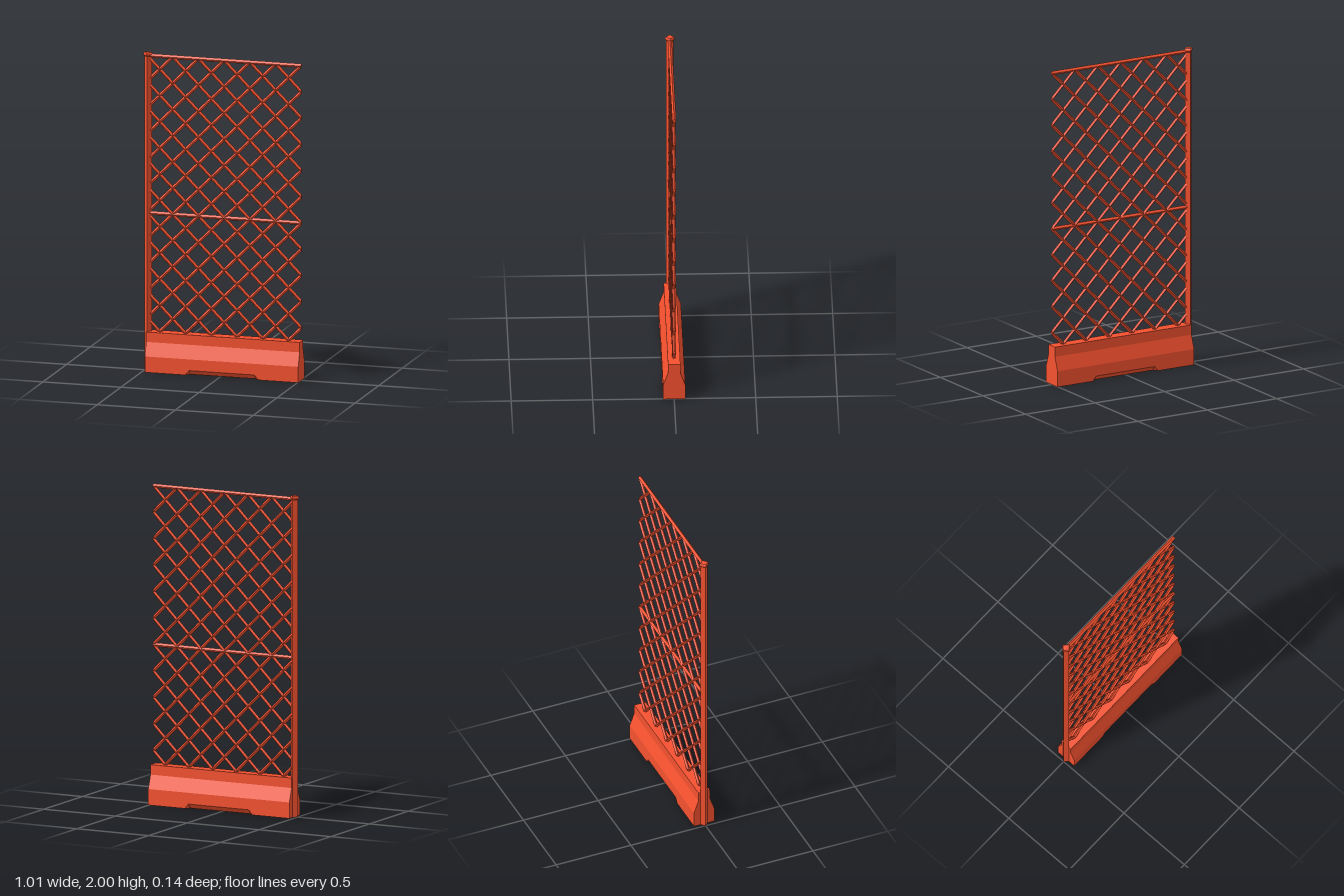
import * as THREE from 'three';

const LEFT = -0.478, RIGHT = 0.505; // ends of the panel
const STEP = 0.165;                 // lattice spacing
const BASE_TOP = 0.247, RAIL_TOP = 1.98;

const material = new THREE.MeshStandardMaterial({ color: 0xf5512f, flatShading: true });

function add(parent, name, geometry, x = 0, y = 0, z = 0) {
  const mesh = new THREE.Mesh(geometry, material);
  mesh.name = name;
  mesh.position.set(x, y, z);
  parent.add(mesh);
  return mesh;
}

// Diamond-section bar lying along x
function barGeometry(length, radius) {
  return new THREE.CylinderGeometry(radius, radius, length, 4).rotateZ(Math.PI / 2);
}

// Barrier base: cross-sections along x, lower edges cut away by "cut" in the middle
function baseGeometry() {
  const section = (x, cut) => {
    const half = [[0.068 - 0.028 * cut, 0], [0.068, 0.03 * cut], [0.068, 0.1], [0.038, 0.185], [0.038, BASE_TOP]];
    const back = half.map(([z, y]) => [x, y, -z]);
    const front = half.map(([z, y]) => [x, y, z]).reverse();
    return [...back, ...front];
  };
  const sections = [[LEFT, 0], [-0.22, 0], [-0.195, 1], [0.225, 1], [0.25, 0], [RIGHT, 0]]
    .map(([x, cut]) => section(x, cut));
  const n = sections[0].length;
  const positions = [];
  const tri = (...corners) => corners.forEach(c => positions.push(...c));
  for (let s = 0; s < sections.length - 1; s++) {
    const a = sections[s], b = sections[s + 1];
    for (let i = 0; i < n; i++) {
      const j = (i + 1) % n;
      tri(a[i], a[j], b[j]);
      tri(a[i], b[j], b[i]);
    }
  }
  // End caps
  const first = sections[0], last = sections[sections.length - 1];
  for (let i = 0; i < n; i++) {
    const j = (i + 1) % n;
    tri([LEFT, 0.05, 0], first[j], first[i]);
    tri([RIGHT, 0.05, 0], last[i], last[j]);
  }
  const geometry = new THREE.BufferGeometry();
  geometry.setAttribute('position', new THREE.Float32BufferAttribute(positions, 3));
  geometry.computeVertexNormals();
  return geometry;
}

// Diagonal bars at 45 degrees, sheared so that their ends stay upright
function buildLattice() {
  const lattice = new THREE.Group();
  lattice.name = 'lattice';
  const low = BASE_TOP - 0.02, high = RAIL_TOP - 0.004;
  for (const slope of [1, -1]) {
    for (let k = -6; k <= 18; k++) {
      // Line y = slope * (x - RIGHT) + k * STEP, trimmed to the panel
      const xAt = y => RIGHT + (y - k * STEP) / slope;
      const x0 = Math.max(LEFT, Math.min(xAt(low), xAt(high)));
      const x1 = Math.min(RIGHT, Math.max(xAt(low), xAt(high)));
      if (x1 - x0 < 0.03) continue;
      const shear = new THREE.Matrix4().set(
        1, 0, 0, 0,
        slope, Math.SQRT2, 0, 0,
        0, 0, 1, 0,
        0, 0, 0, 1);
      const x = (x0 + x1) / 2;
      add(lattice, slope > 0 ? 'risingBar' : 'fallingBar',
        barGeometry(x1 - x0, 0.0105).applyMatrix4(shear), x, slope * (x - RIGHT) + k * STEP);
    }
  }
  return lattice;
}

export function createModel() {
  const model = new THREE.Group();
  model.name = 'latticeFence';

  add(model, 'base', baseGeometry());

  // Corner post with a bevelled cap
  add(model, 'post', new THREE.CylinderGeometry(0.024, 0.024, 1.985, 4), LEFT, 1.985 / 2, 0);
  const capProfile = [[0, 1.976], [0.024, 1.976], [0.03, 1.982], [0.03, 1.993], [0.025, 2], [0, 2]]
    .map(([r, y]) => new THREE.Vector2(r, y));
  add(model, 'postCap', new THREE.LatheGeometry(capProfile, 4), LEFT, 0, 0);

  // Horizontal rails
  for (const [name, y] of [['middleRail', 0.99], ['topRail', RAIL_TOP]]) {
    add(model, name, barGeometry(RIGHT - LEFT, 0.0125), (LEFT + RIGHT) / 2, y, 0);
  }

  model.add(buildLattice());
  return model;
}
